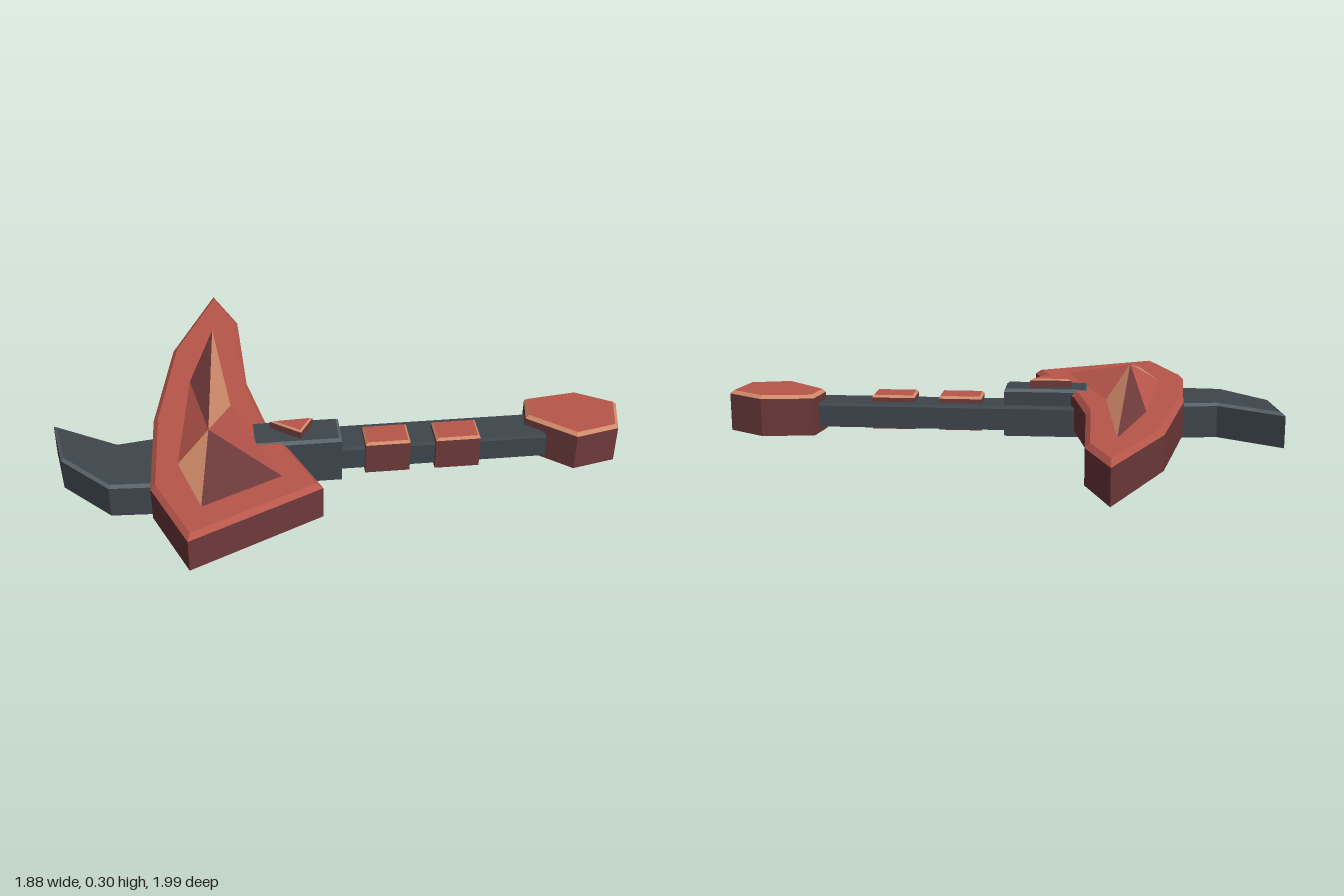
import * as THREE from 'three';

const mat = (name, color) => {
  const m = new THREE.MeshStandardMaterial({ color });
  m.name = name;
  return m;
};
const red = mat('red', 0xb8564a);
const darkRed = mat('dark red', 0x6e393a);
const peach = mat('peach', 0xd08a6a);
const grey = mat('slate grey', 0x3e464c);
const lightGrey = mat('light slate', 0x59636a);

// Flat-shaded mesh from one list of triangle corners per material
function facets(name, parts) {
  const geo = new THREE.BufferGeometry();
  const pos = [];
  parts.forEach(([, tris], i) => {
    geo.addGroup(pos.length / 3, tris.length, i);
    tris.forEach((p) => pos.push(...p));
  });
  geo.setAttribute('position', new THREE.Float32BufferAttribute(pos, 3));
  geo.computeVertexNormals();
  const mesh = new THREE.Mesh(geo, parts.map(([m]) => m));
  mesh.name = name;
  return mesh;
}

// Mitred inset of a counter-clockwise outline
function inset(pts, d) {
  const n = pts.length;
  return pts.map((p, i) => {
    const a = p.clone().sub(pts[(i + n - 1) % n]).normalize();
    const b = pts[(i + 1) % n].clone().sub(p).normalize();
    const na = new THREE.Vector2(-a.y, a.x);
    const nb = new THREE.Vector2(-b.y, b.x);
    const k = d / (1 + na.dot(nb));
    return p.clone().add(na.add(nb).multiplyScalar(k));
  });
}

// Upright slab from an (x, z) outline with a bevelled top edge
function slab(name, outline, y0, y1, bevel, side, edge, top) {
  let pts = outline.map(([x, z]) => new THREE.Vector2(x, z));
  if (THREE.ShapeUtils.area(pts) < 0) pts.reverse();
  const inner = inset(pts, bevel);
  const ring = (list, y) => list.map((p) => [p.x, y, p.y]);
  const low = ring(pts, y0);
  const mid = ring(pts, y1 - bevel);
  const high = ring(inner, y1);
  const band = (a, b) => a.flatMap((p, i) => {
    const j = (i + 1) % a.length;
    return [p, b[i], b[j], p, b[j], a[j]];
  });
  const caps = THREE.ShapeUtils.triangulateShape(pts, []);
  return facets(name, [
    [side, [...band(low, mid), ...caps.flatMap(([a, b, c]) => [low[a], low[b], low[c]])]],
    [edge, band(mid, high)],
    [top, caps.flatMap(([a, b, c]) => [high[a], high[c], high[b]])],
  ]);
}

// Rectangle along the handle axis: a runs toward the pommel, p across it
const AX = 0.763, AZ = 0.646;
const along = (a, p) => [a * AX - p * AZ, a * AZ + p * AX];
const rect = (a0, a1, p0, p1) =>
  [along(a0, p0), along(a1, p0), along(a1, p1), along(a0, p1)];

export function createModel() {
  const model = new THREE.Group();
  model.name = 'axe';

  // Curved blade
  const blade = [[-0.94, 0.23], [-0.835, -0.105], [-0.53, -0.44], [-0.12, -0.78], [0.33, -1],
    [0.245, -0.745], [-0.07, -0.355], [-0.21, -0.1], [-0.36, 0.38]];
  model.add(slab('blade', blade, 0.04, 0.205, 0.02, darkRed, red, red));

  // Faceted ridge on the blade, one colour per facet
  const base = [[-0.785, 0.137], [-0.67, -0.13], [-0.245, -0.53], [0.11, -0.77],
    [-0.245, -0.27], [-0.435, 0.23]].map(([x, z]) => [x, 0.204, z]);
  const apex = [-0.51, 0.298, -0.115];
  const colours = [peach, red, darkRed];
  model.add(facets('bladeRidge', base.map((p, i) =>
    [colours[i % 3], [p, apex, base[(i + 1) % base.length]]])));

  // Rear spike
  const spike = [[-0.815, -0.757], [-0.94, -0.545], [-0.92, -0.265], [-0.795, -0.148],
    [-0.644, -0.14], [-0.49, -0.335], [-0.59, -0.386], [-0.71, -0.46]];
  model.add(slab('rearSpike', spike, 0.01, 0.16, 0.012, grey, lightGrey, grey));

  // Handle with two wrapped bands
  model.add(slab('handle', rect(-0.62, 0.95, 0.055, 0.222), 0.036, 0.14, 0.01, grey, grey, grey));
  for (const a of [0.18, 0.475]) {
    model.add(slab('handleBand', rect(a, a + 0.188, 0.107, 0.236), 0.018, 0.168, 0.01, darkRed, peach, red));
  }

  // Head block, its underside plate and the triangular stud
  model.add(slab('headBlock', rect(-0.285, 0.08, 0.092, 0.25), 0.003, 0.21, 0.012, grey, lightGrey, grey));
  model.add(slab('headPlate', rect(-0.35, 0.08, 0.094, 0.248), 0, 0.06, 0.01, grey, grey, grey));
  const stud = [[-0.25, -0.03], [-0.108, 0.08], [-0.214, 0.116]];
  model.add(slab('triangleStud', stud, 0.19, 0.248, 0.007, darkRed, peach, red));

  // Six-sided pommel
  const pommel = [[0.683, 0.585], [0.873, 0.71], [0.935, 0.885], [0.79, 0.992],
    [0.622, 0.905], [0.578, 0.67]];
  model.add(slab('pommel', pommel, 0.008, 0.187, 0.014, darkRed, peach, red));

  return model;
}
